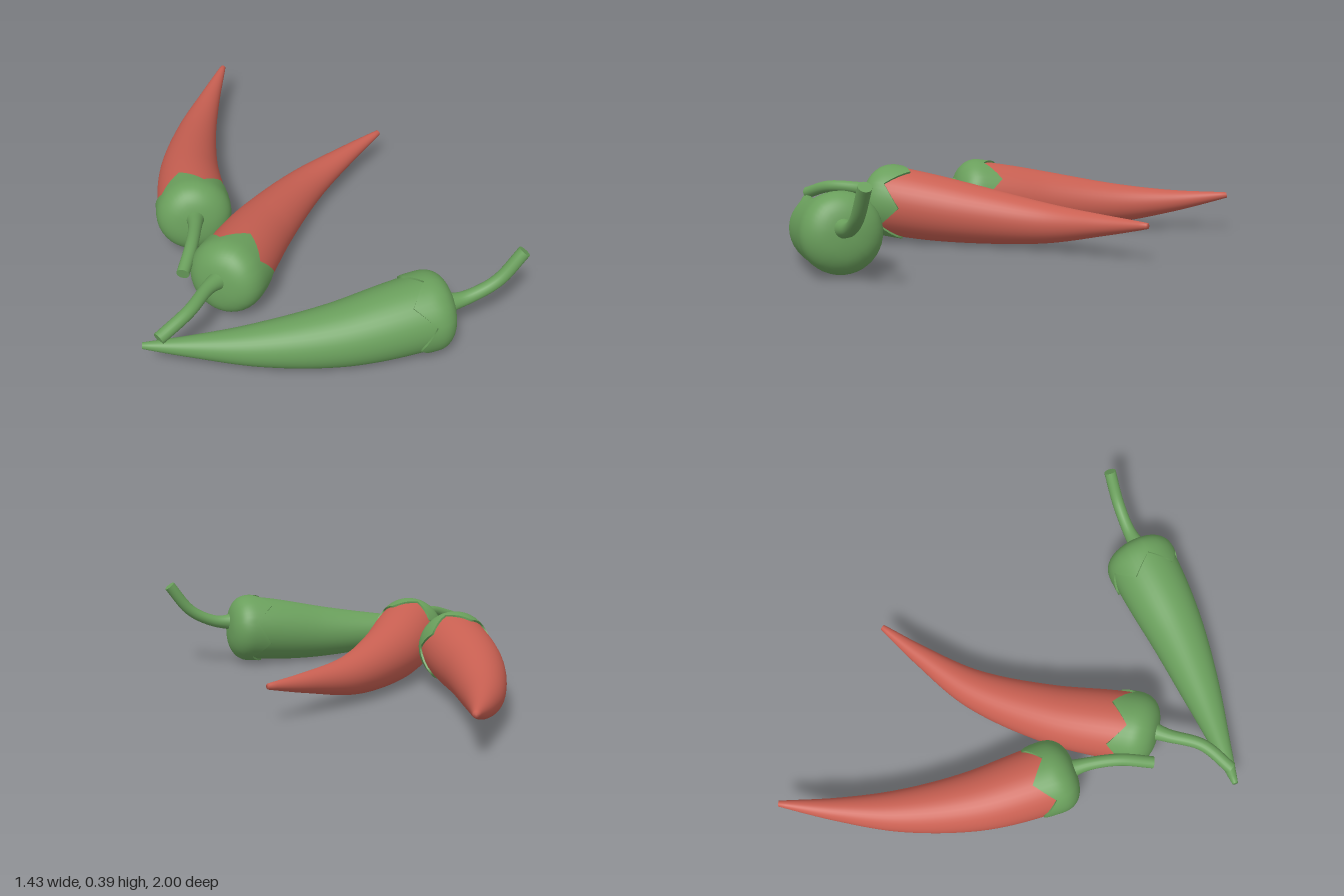
import * as THREE from 'three';

const SEGS = 40;
const red = new THREE.MeshStandardMaterial({ color: 0xc96052 });
red.name = 'pepper red';
const green = new THREE.MeshStandardMaterial({ color: 0x6a9f5c });
green.name = 'leaf green';

const curveOf = (pts) => new THREE.CatmullRomCurve3(pts.map((p) => new THREE.Vector3(...p)));

// Sweeps rings along a curve; ring(row, angle, j) returns [u, radius]
function loft(curve, rows, segs, ring) {
  const pos = [], index = [];
  const up = new THREE.Vector3(0, 1, 0);
  for (let i = 0; i <= rows; i++) {
    for (let j = 0; j < segs; j++) {
      const a = (j / segs) * Math.PI * 2;
      const [u, r] = ring(i, a, j);
      const t = curve.getTangentAt(u);
      const side = new THREE.Vector3().crossVectors(t, up).normalize();
      const top = new THREE.Vector3().crossVectors(side, t);
      const p = curve.getPointAt(u)
        .addScaledVector(side, Math.cos(a) * r)
        .addScaledVector(top, Math.sin(a) * r);
      pos.push(p.x, p.y, p.z);
      if (i < rows) {
        const k = (j + 1) % segs, b = i * segs, c = b + segs;
        index.push(b + j, c + j, b + k, b + k, c + j, c + k);
      }
    }
  }
  const g = new THREE.BufferGeometry();
  g.setAttribute('position', new THREE.Float32BufferAttribute(pos, 3));
  g.setIndex(index);
  g.computeVertexNormals();
  return g;
}

// Pepper radius along its length: rounded shoulder, long taper, blunt tip
const PROFILE = [[0, 0.146], [0.1, 0.147], [0.22, 0.141], [0.36, 0.125], [0.6, 0.088], [0.8, 0.05], [0.96, 0.02], [1, 0.012]];
const taper = curveOf(PROFILE.map(([u, r]) => [u, r, 0]));
const taperPoints = taper.getPoints(200);
const DOME = 0.09;
function radiusAt(u) {
  let k = 1;
  while (k < 200 && taperPoints[k].x < u) k++;
  const a = taperPoints[k - 1], b = taperPoints[k];
  const r = THREE.MathUtils.lerp(a.y, b.y, (u - a.x) / (b.x - a.x));
  if (u >= DOME) return r;
  return r * Math.pow(1 - Math.pow(1 - u / DOME, 2.5), 0.4);
}

function bodyGeometry(spine) {
  const rows = 60;
  return loft(spine, rows, SEGS, (i) => {
    if (i === rows) return [1, 0];
    const u = Math.pow(i / (rows - 1), 1.5);
    return [u, radiusAt(u) * 0.985];
  });
}

// Calyx: a thin shell over the shoulder with five pointed teeth
function capGeometry(spine, turn) {
  const rows = 20;
  return loft(spine, rows, SEGS, (i, a, j) => {
    const f = ((j + turn) % 8) / 8;
    const rim = 0.09 + 0.06 * Math.abs(1 - 2 * f);
    if (i >= rows - 1) return [rim, radiusAt(rim) + (i === rows ? -0.008 : 0.006)];
    if (i === rows - 2) return [rim, radiusAt(rim) + 0.006];
    const u = rim * Math.pow(i / (rows - 2), 1.8);
    return [u, radiusAt(u) + 0.006 * Math.min(1, i / 4)];
  });
}

// Stem: tapered round stalk with a flat cut end
function stemGeometry(path) {
  const rows = 26;
  return loft(path, rows, 20, (i) => {
    const u = Math.min(1, i / (rows - 2));
    const r = 0.025 + 0.018 * Math.pow(1 - u, 8);
    return [u, i === rows ? 0 : r];
  });
}

function pepper(name, material, spinePts, stemPts, turn) {
  const group = new THREE.Group();
  group.name = name;
  const spine = curveOf(spinePts);
  const add = (part, geometry, mat) => {
    const m = new THREE.Mesh(geometry, mat);
    m.name = part;
    group.add(m);
  };
  add('body', bodyGeometry(spine), material);
  add('cap', capGeometry(spine, turn), green);
  add('stem', stemGeometry(curveOf(stemPts)), green);
  return group;
}

export function createModel() {
  const model = new THREE.Group();
  model.name = 'chilliPeppers';
  model.add(
    pepper('greenPepper', green,
      [[0.43, 0.168, 0.85], [0.33, 0.161, 0.845], [0, 0.123, 0.83], [-0.3, 0.116, 0.787], [-0.55, 0.133, 0.735], [-0.71, 0.15, 0.7]],
      [[0.4, 0.19, 0.86], [0.49, 0.2, 0.86], [0.6, 0.255, 0.865], [0.695, 0.375, 0.865]], 2),
    pepper('middleRedPepper', red,
      [[-0.385, 0.185, 0.515], [-0.305, 0.168, 0.43], [-0.1, 0.128, 0.18], [0.16, 0.108, -0.06], [0.39, 0.125, -0.195], [0.58, 0.145, -0.29]],
      [[-0.36, 0.2, 0.49], [-0.42, 0.212, 0.54], [-0.52, 0.215, 0.645], [-0.65, 0.175, 0.71]], 0),
    pepper('backRedPepper', red,
      [[-0.365, 0.185, 0.14], [-0.345, 0.166, 0.02], [-0.29, 0.132, -0.27], [-0.185, 0.113, -0.56], [-0.066, 0.125, -0.79], [0.06, 0.155, -1]],
      [[-0.36, 0.2, 0.11], [-0.38, 0.22, 0.19], [-0.425, 0.23, 0.31], [-0.49, 0.205, 0.43]], 4),
  );
  return model;
}
